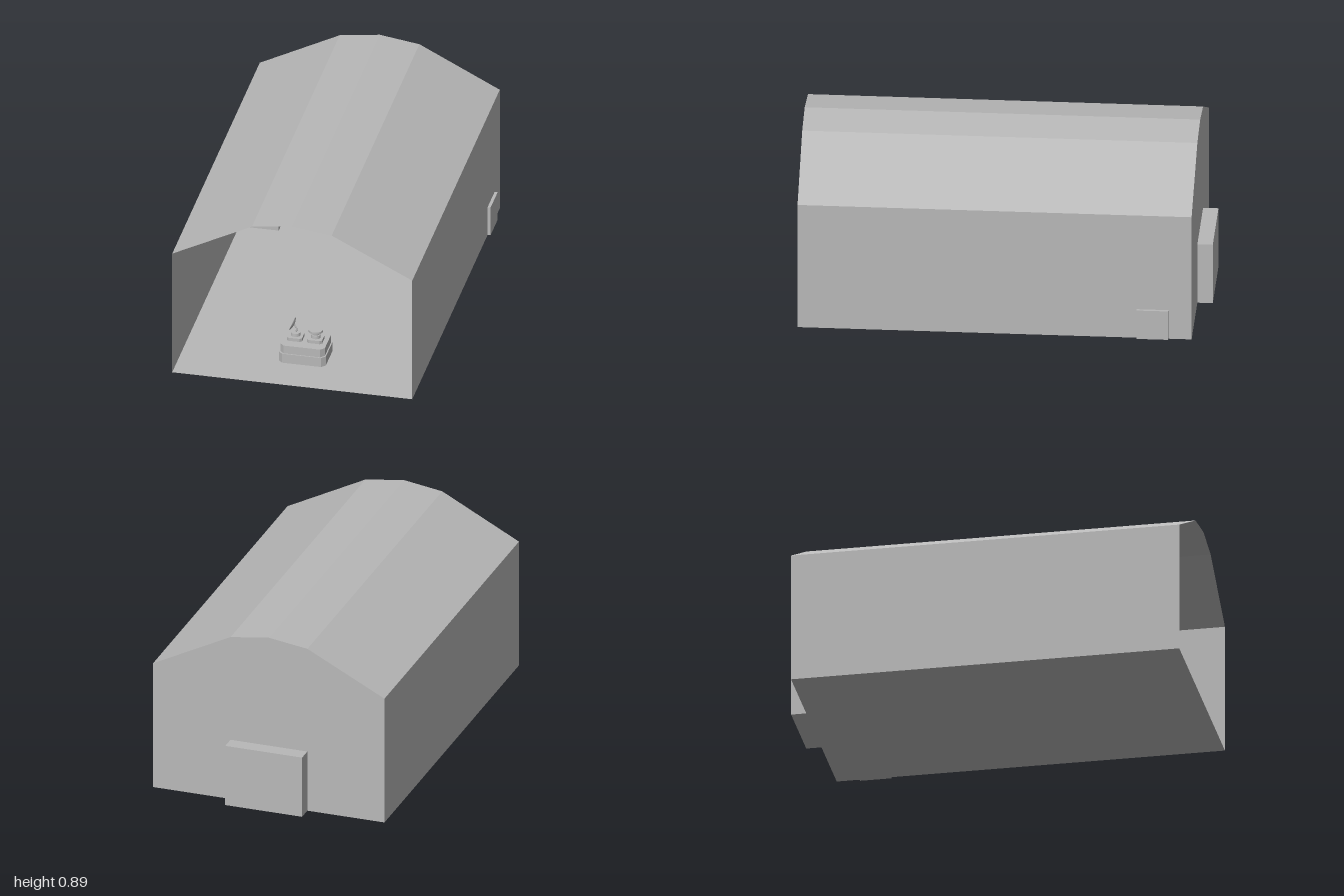
import * as THREE from 'three';

export function createModel() {
  const model = new THREE.Group();
  const grey = new THREE.MeshStandardMaterial({ color: 0xb8b8b8 });
  grey.name = 'plainGrey';
  const greyThin = grey;
  greyThin.side = THREE.DoubleSide;

  const add = (name, geometry, parent = model, x = 0, y = 0, z = 0) => {
    const mesh = new THREE.Mesh(geometry, grey);
    mesh.name = name;
    mesh.position.set(x, y, z);
    parent.add(mesh);
    return mesh;
  };
  const group = (name, x = 0, y = 0, z = 0) => {
    const g = new THREE.Group();
    g.name = name;
    g.position.set(x, y, z);
    model.add(g);
    return g;
  };
  // flat four-cornered panel
  const panel = (a, b, c, d) => {
    const g = new THREE.BufferGeometry();
    g.setAttribute('position', new THREE.Float32BufferAttribute([a, b, c, a, c, d].flat(), 3));
    g.computeVertexNormals();
    return g;
  };
  const outline = (points) => new THREE.Shape(points.map(([x, y]) => new THREE.Vector2(x, y)));

  // Hangar shell: cross-section from the right foot over the roof to the left foot
  const L = -0.605, R = 0.59, back = -0.925, end = -1;
  const doorL = -0.207, doorR = 0.19, doorTop = 0.317;
  const section = [ // x, y, z of the open front edge
    [R, 0, 0.993], [R, 0.663, 0.993], [0.19, 0.867, 0.998], [-0.008, 0.895, 1],
    [-0.207, 0.867, 0.998], [L, 0.663, 0.993], [L, 0, 0.993],
  ];
  const names = ['leftWall', 'leftRoofSlope', 'leftRoofCrown', 'rightRoofCrown', 'rightRoofSlope', 'rightWall'];
  names.forEach((name, i) => {
    const [x0, y0, z0] = section[i], [x1, y1, z1] = section[i + 1];
    add(name, panel([x0, y0, z0], [x0, y0, back], [x1, y1, back], [x1, y1, z1]));
  });

  // Back wall with a doorway, facing outward
  const wall = new THREE.ShapeGeometry(outline([
    ...section.map(([x, y]) => [x, y]),
    [doorL, 0], [doorL, doorTop], [doorR, doorTop], [doorR, 0],
  ]));
  add('backWall', wall, model, 0, 0, back);

  // Floor, reaching into the door recess
  const floor = new THREE.ShapeGeometry(outline([
    [L, -0.993], [R, -0.993], [R, -back], [doorR, -back],
    [doorR, -end], [doorL, -end], [doorL, -back], [L, -back],
  ]));
  floor.rotateX(-Math.PI / 2);
  add('floor', floor);

  // Door recess
  add('door', panel([doorR, 0, end], [doorL, 0, end], [doorL, doorTop, end], [doorR, doorTop, end]));
  add('doorLintel', panel([doorL, doorTop, back], [doorR, doorTop, back], [doorR, doorTop, end], [doorL, doorTop, end]));
  add('doorJambLeft', panel([doorR, 0, back], [doorR, 0, end], [doorR, doorTop, end], [doorR, doorTop, back]));
  add('doorJambRight', panel([doorL, 0, end], [doorL, 0, back], [doorL, doorTop, back], [doorL, doorTop, end]));

  // Control plate beside the door
  add('doorControlPlate', new THREE.BoxGeometry(0.085, 0.083, 0.009), model, 0.273, 0.22, back + 0.006);

  // Stacked crates in both back corners: x, level, z, turn
  const size = 0.154;
  const crates = group('crates');
  [
    [0.528, 0, -0.735, 0], [0.362, 0, -0.735, 0], [0.497, 0, -0.55, 0], [0.478, 1, -0.7, 0],
    [-0.523, 0, -0.735, 0], [-0.348, 0, -0.735, 0], [-0.485, 0, -0.55, 0], [-0.433, 1, -0.7, Math.PI / 4],
  ].forEach(([x, level, z, turn]) => {
    const crate = add('crate', new THREE.BoxGeometry(size, size, size), crates, x, size * (level + 0.5) + 0.001, z);
    crate.rotation.y = turn;
  });

  // Console: two stacked slabs with cut corners
  const slab = (w, d, h, cut) => {
    const a = w / 2, b = d / 2;
    const g = new THREE.ExtrudeGeometry(outline([
      [-a + cut, -b], [a - cut, -b], [a, -b + cut], [a, b - cut],
      [a - cut, b], [-a + cut, b], [-a, b - cut], [-a, -b + cut],
    ]), { depth: h, bevelEnabled: false });
    return g.rotateX(-Math.PI / 2);
  };
  const console_ = group('console', -0.009, 0, 0.69);
  add('consoleBase', slab(0.234, 0.19, 0.05, 0.02), console_, 0, 0.001);
  add('consoleTop', slab(0.222, 0.178, 0.044, 0.02), console_, 0, 0.05);

  // Two pedestals, one carrying a level disc and one a tilted dish
  const drum = (r0, r1, h) => new THREE.CylinderGeometry(r1, r0, h, 20);
  [-0.05, 0.05].forEach((x) => {
    add('pedestalPlate', slab(0.076, 0.076, 0.017, 0.01), console_, x, 0.094);
    add('pedestalDrum', drum(0.024, 0.023, 0.016), console_, x, 0.119);
  });
  add('discNeck', drum(0.017, 0.02, 0.018), console_, 0.05, 0.135);
  add('levelDisc', drum(0.036, 0.036, 0.011), console_, 0.05, 0.149);

  const dish = new THREE.LatheGeometry(
    [[0, 0], [0.018, 0.002], [0.03, 0.007], [0.036, 0.012]].map(([r, y]) => new THREE.Vector2(r, y)), 20);
  const tilted = add('tiltedDish', dish, console_, -0.057, 0.166, 0);
  tilted.rotation.z = THREE.MathUtils.degToRad(66);
  const arm = new THREE.CatmullRomCurve3([[-0.05, 0.12], [-0.045, 0.145], [-0.057, 0.166]]
    .map(([x, y]) => new THREE.Vector3(x, y, 0)));
  add('dishArm', new THREE.TubeGeometry(arm, 8, 0.004, 8), console_);

  return model;
}
